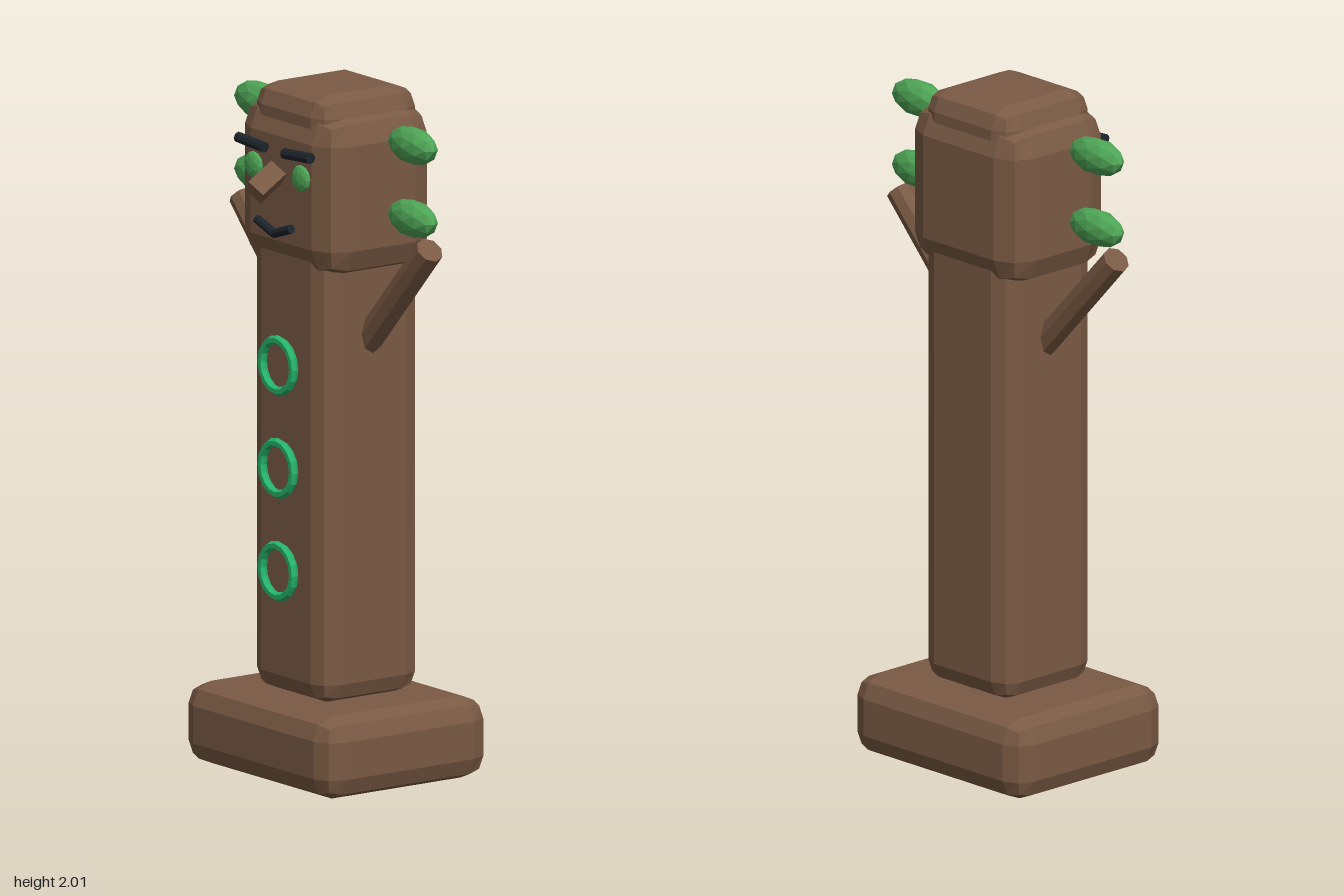
import * as THREE from 'three';
import { RoundedBoxGeometry } from 'three/addons/geometries/RoundedBoxGeometry.js';

const flat = (name, color) => {
  const m = new THREE.MeshStandardMaterial({ color, flatShading: true });
  m.name = name;
  return m;
};

export function createModel() {
  const group = new THREE.Group();
  group.name = 'woodenTotem';
  const wood = flat('wood brown', 0x7a5a44);
  const leafGreen = flat('leaf green', 0x4ea556);
  const ringGreen = flat('ring green', 0x26b56c);
  const dark = flat('charcoal', 0x1c242b);
  const CZ = -0.008; // depth of the trunk axis

  const add = (name, geometry, material, x, y, z) => {
    const mesh = new THREE.Mesh(geometry, material);
    mesh.name = name;
    mesh.position.set(x, y, z);
    group.add(mesh);
    return mesh;
  };

  // Chamfered block given by its visible size; the coarse bevel falls short by 0.095 r a side
  const block = (name, w, y0, y1, d, r) => {
    const e = 0.19 * r;
    add(name, new RoundedBoxGeometry(w + e, y1 - y0 + e, d + e, 1, r), wood, 0, (y0 + y1) / 2, CZ);
  };

  // Straight rod between two points
  const rod = (name, a, b, r, sides, material) => {
    const from = new THREE.Vector3(...a), to = new THREE.Vector3(...b);
    const dir = to.clone().sub(from);
    const mid = from.clone().add(to).multiplyScalar(0.5);
    const mesh = add(name, new THREE.CylinderGeometry(r, r, dir.length(), sides), material, mid.x, mid.y, mid.z);
    mesh.quaternion.setFromUnitVectors(new THREE.Vector3(0, 1, 0), dir.normalize());
    return mesh;
  };

  // Base, trunk (running through to the crown) and head
  block('base', 0.692, 0.005, 0.232, 0.575, 0.065);
  block('trunk', 0.343, 0.24, 2.0, 0.345, 0.06);
  block('head', 0.444, 1.49, 1.95, 0.374, 0.085);

  for (const s of [1, -1]) {
    const side = s > 0 ? 'left' : 'right';

    // Branch arms and floating leaves
    rod(side + 'Arm', [s * 0.1, 1.225, CZ], [s * 0.447, 1.597, CZ], 0.041, 8, wood);
    for (const [label, y] of [['Upper', 1.888], ['Lower', 1.675]]) {
      add(side + label + 'Leaf', new THREE.IcosahedronGeometry(1, 1), leafGreen, s * 0.367, y, CZ)
        .scale.set(0.104, 0.055, 0.044);
    }

    // Face
    add(side + 'Eye', new THREE.IcosahedronGeometry(0.04, 1), leafGreen, s * 0.113, 1.773, 0.2)
      .scale.z = 0.4;
    rod(side + 'Eyebrow', [s * 0.048, 1.836, 0.21], [s * 0.173, 1.844, 0.21], 0.016, 8, dark);
    rod(side + 'MouthHalf', [s * -0.003, 1.593, 0.211], [s * 0.082, 1.622, 0.211], 0.013, 8, dark);
  }

  // Four-sided nose tilted downward
  add('nose', new THREE.CylinderGeometry(0.041, 0.041, 0.096, 4), wood, 0, 1.748, 0.24).rotation.x = 2.13;

  // Button rings down the front
  [1.207, 0.907, 0.607].forEach((y, i) => {
    add('ring' + (i + 1), new THREE.TorusGeometry(0.075, 0.0135, 6, 16), ringGreen, 0, y, 0.198);
  });

  return group;
}
